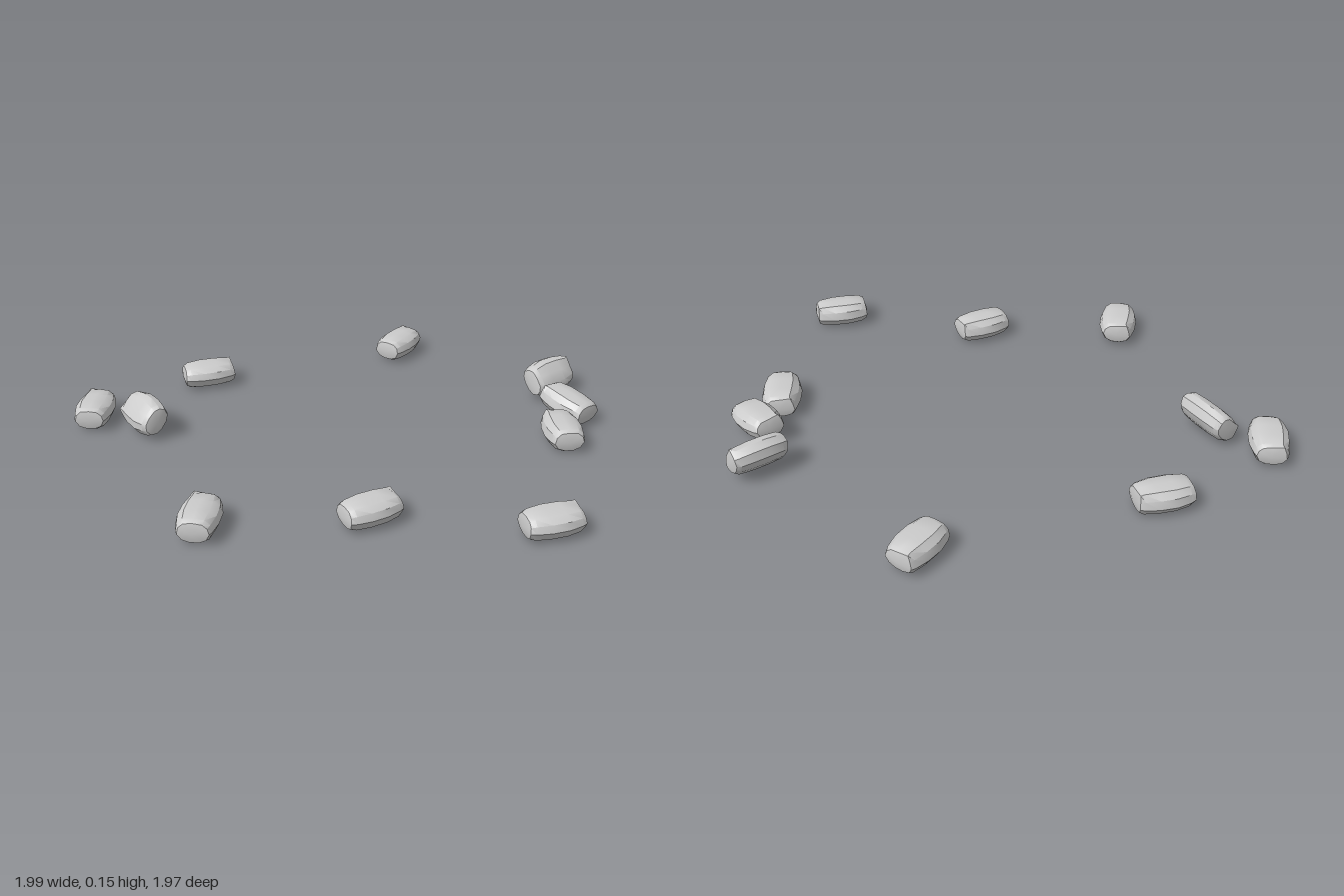
import * as THREE from 'three';
import { toCreasedNormals } from 'three/addons/utils/BufferGeometryUtils.js';

// Stone cross-section, counter-clockwise seen from its +z end
const SECTION = [
  [0.078, 0.0], [0.069, 0.028], [0.045, 0.046], [0, 0.051], [-0.045, 0.047], [-0.07, 0.026],
  [-0.078, -0.008], [-0.058, -0.038], [-0.02, -0.051], [0.025, -0.05], [0.06, -0.034],
];
// Stations along the stone: z, width scale, height scale, sideways shift
const STATIONS = [
  [-0.108, 0.72, 0.74, -0.003], [-0.088, 0.83, 0.93, -0.002], [-0.035, 0.98, 1, 0],
  [0.03, 1, 1, 0], [0.085, 0.86, 0.94, 0.002], [0.108, 0.74, 0.76, 0.003],
];

function stoneGeometry() {
  const n = SECTION.length, pos = [], index = [];
  STATIONS.forEach(([z, sx, sy, dx], j) => {
    SECTION.forEach(([x, y], i) => {
      // one sharp upper corner at the back end
      const lip = j === 0 && i === 4 ? 1.25 : 1;
      pos.push(x * sx * lip + dx, y * sy * lip, z + (j === 0 ? 0.1 : -0.1) * Math.abs(y) * (j % 5 === 0 ? 1 : 0));
    });
  });
  for (let j = 0; j < STATIONS.length - 1; j++) {
    for (let i = 0; i < n; i++) {
      const a = j * n + i, b = j * n + (i + 1) % n;
      index.push(a, b, b + n, a, b + n, a + n);
    }
  }
  // slightly domed end faces
  const back = pos.length / 3, front = back + 1, last = (STATIONS.length - 1) * n;
  pos.push(0, 0, -0.113, 0, 0, 0.113);
  for (let i = 0; i < n; i++) {
    const k = (i + 1) % n;
    index.push(back, k, i, front, last + i, last + k);
  }
  const g = new THREE.BufferGeometry();
  g.setAttribute('position', new THREE.Float32BufferAttribute(pos, 3));
  g.setIndex(index);
  return toCreasedNormals(g, 0.6);
}

// x, y, z, then yaw, pitch and roll in degrees
const PLACES = [
  [0.12, 0.092, -0.88, 0, 0, -48],
  [0.335, 0.078, -0.77, 90, 8, 0],
  [0.46, 0.06, -0.6, 57, 0, 0],
  [-0.61, 0.06, -0.655, 18, 0, 0],
  [0.9, 0.06, -0.07, -22, 0, 0],
  [-0.89, 0.06, 0.2, -21, 0, 0],
  [0.44, 0.06, 0.37, -10, 0, 0],
  [-0.67, 0.09, 0.64, 87, 0, 50],
  [-0.885, 0.06, 0.75, 47, 0, 0],
  [0.105, 0.06, 0.865, 44, 0, 0],
];

export function createModel() {
  const group = new THREE.Group();
  group.name = 'scatteredStones';
  const geometry = stoneGeometry();
  const material = new THREE.MeshStandardMaterial({ color: 0xcccccc });
  const rad = THREE.MathUtils.degToRad;
  PLACES.forEach(([x, y, z, yaw, pitch, roll], i) => {
    const stone = new THREE.Mesh(geometry, material);
    stone.name = `stone${i + 1}`;
    stone.position.set(x, y, z);
    stone.rotation.set(rad(pitch), rad(yaw), rad(roll), 'YXZ');
    group.add(stone);
  });
  return group;
}
